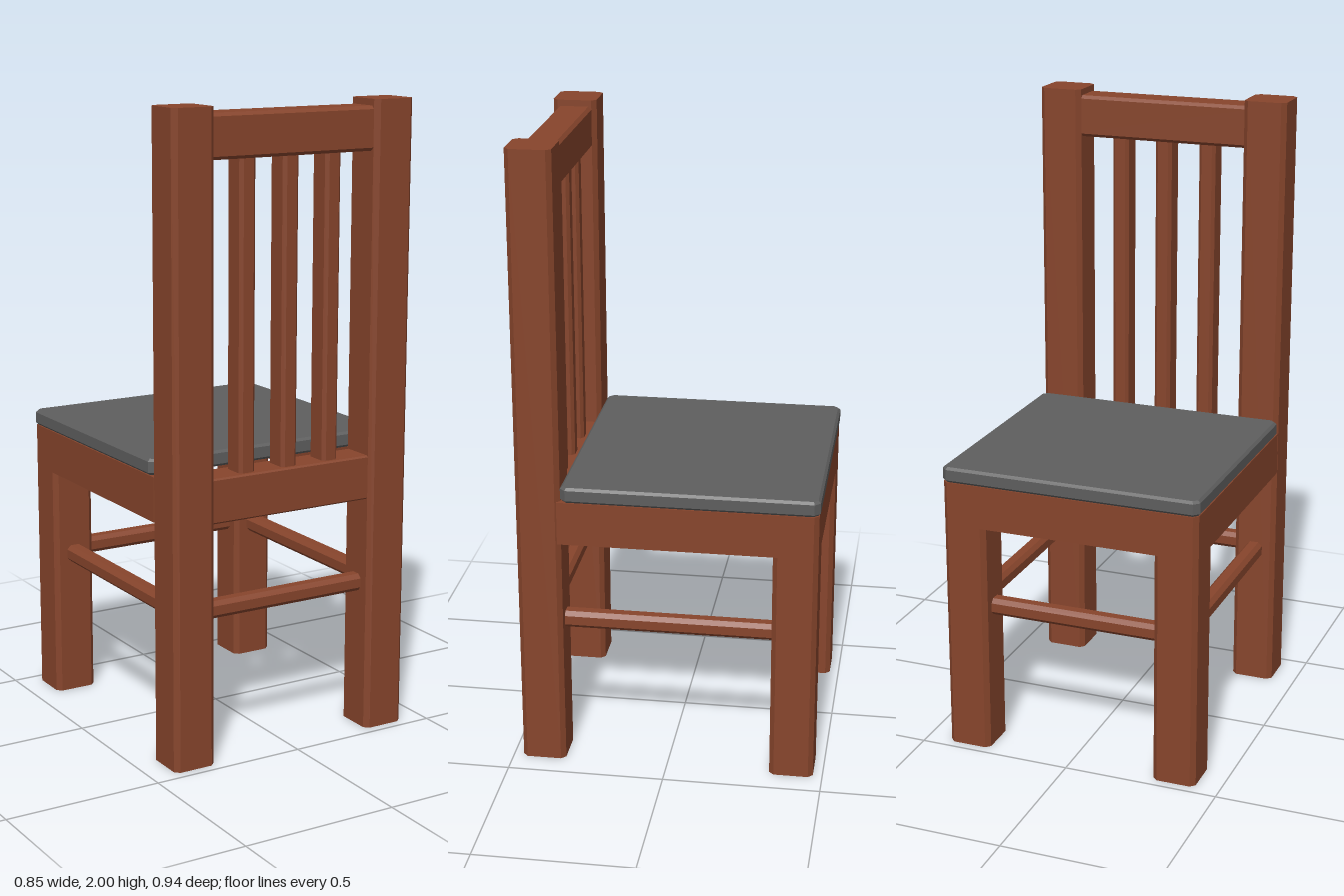
import * as THREE from 'three';

const wood = new THREE.MeshStandardMaterial({ color: 0x87452c });
const cushionGrey = new THREE.MeshStandardMaterial({ color: 0x5e5e5e });

// Rectangle with cut corners
function cutRect(w, h, c) {
  const x = w / 2, y = h / 2;
  return new THREE.Shape([
    [-x + c, -y], [x - c, -y], [x, -y + c], [x, y - c],
    [x - c, y], [-x + c, y], [-x, y - c], [-x, -y + c],
  ].map(([a, b]) => new THREE.Vector2(a, b)));
}

// Chamfered bar running along one axis, centred on its origin.
// w, h: section size (x by z for 'y', z by y for 'x', x by y for 'z')
function bar(axis, w, h, length, chamfer) {
  const g = new THREE.ExtrudeGeometry(cutRect(w, h, chamfer), { depth: length, bevelEnabled: false });
  g.translate(0, 0, -length / 2);
  if (axis === 'y') g.rotateX(-Math.PI / 2);
  if (axis === 'x') g.rotateY(Math.PI / 2);
  return g;
}

export function createModel() {
  const chair = new THREE.Group();
  chair.name = 'chair';

  const add = (name, geometry, x, y, z, material = wood) => {
    const mesh = new THREE.Mesh(geometry, material);
    mesh.name = name;
    mesh.position.set(x, y, z);
    chair.add(mesh);
  };

  const legAt = 0.35, legSize = 0.14;

  // Left and right: tall back posts, short legs, side aprons and stretchers
  for (const [side, s] of [['left', 1], ['right', -1]]) {
    add(`${side}BackPost`, bar('y', legSize, legSize, 2, 0.015), s * legAt, 1, 0.4);
    add(`${side}SeatLeg`, bar('y', legSize, legSize, 0.9, 0.015), s * legAt, 0.45, -0.4);
    add(`${side}Apron`, new THREE.BoxGeometry(0.13, 0.14, 0.795), s * 0.355, 0.83, -0.0575);
    add(`${side}Stretcher`, bar('z', 0.055, 0.055, 0.7, 0.013), s * legAt, 0.478, 0);
  }

  // Cross aprons and stretchers
  add('seatEdgeApron', new THREE.BoxGeometry(0.81, 0.14, 0.13), 0, 0.83, -0.405);
  add('backrestApron', bar('x', 0.11, 0.14, 0.6, 0.005), 0, 0.83, 0.4);
  for (const [name, z] of [['backrestStretcher', 0.4], ['seatEdgeStretcher', -0.4]]) {
    add(name, bar('x', 0.055, 0.055, 0.6, 0.013), 0, 0.478, z);
  }

  // Backrest: top rail and three slats
  add('topRail', bar('x', 0.11, 0.135, 0.6, 0.01), 0, 1.9125, 0.4);
  for (const x of [-0.15, 0, 0.15]) {
    add('slat', bar('y', 0.055, 0.08, 0.97, 0.01), x, 1.375, 0.4);
  }

  // Board under the cushion
  add('seatBoard', new THREE.BoxGeometry(0.7, 0.01, 0.7), 0, 0.895, -0.06);

  // Seat cushion with bevelled rims
  const bevel = 0.008;
  const cushion = new THREE.ExtrudeGeometry(cutRect(0.846 - 2 * bevel, 0.803 - 2 * bevel, 0.013), {
    depth: 0.05 - 2 * bevel, bevelThickness: bevel, bevelSize: bevel, bevelSegments: 1,
  });
  cushion.translate(0, 0, bevel).rotateX(-Math.PI / 2);
  add('seatCushion', cushion, 0, 0.9, -0.0715, cushionGrey);

  return chair;
}
